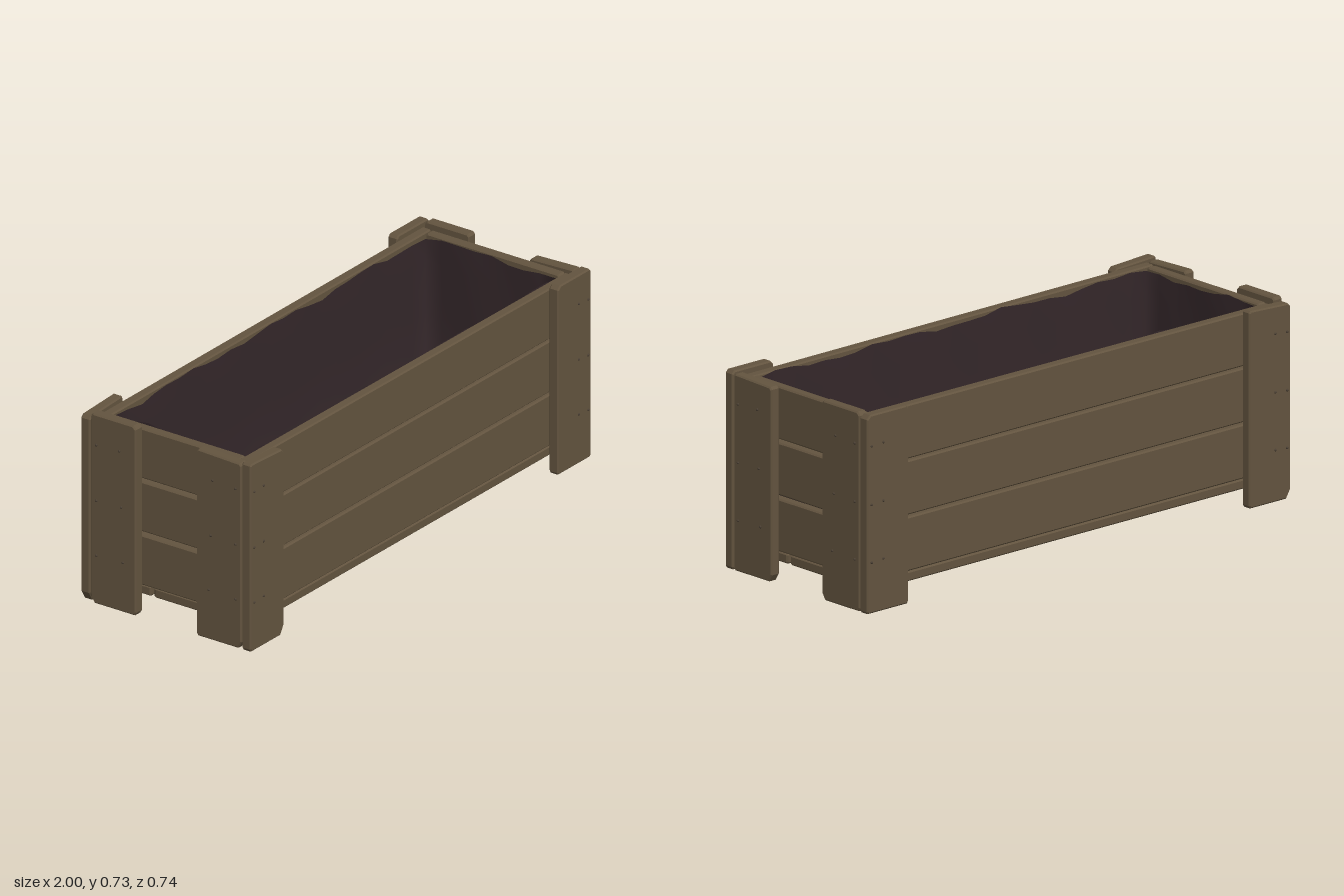
import * as THREE from 'three';

const mat = (name, color, extra = {}) => {
  const m = new THREE.MeshStandardMaterial({ color, ...extra });
  m.name = name;
  return m;
};

export function createModel() {
  const group = new THREE.Group();
  const wood = mat('weathered wood', 0x63543f);
  const iron = mat('nail iron', 0x4c4135);
  const cloth = mat('dark liner', 0x34272a, { side: THREE.DoubleSide });

  // Bevelled board in the XY plane, centred; cuts = worn corners [bl, br, tr, tl], drop lowers one top end
  function boardGeometry(w, h, t, cuts = [0.004, 0.004, 0.004, 0.004], drop = 0) {
    const b = 0.005, x = w / 2 - b, y = h / 2 - b;
    const [bl, br, tr, tl] = cuts;
    const s = new THREE.Shape();
    s.moveTo(-x + bl * 0.6, -y);
    s.lineTo(x - br * 0.6, -y);
    s.lineTo(x, -y + br);
    s.lineTo(x, y - drop - tr);
    s.lineTo(x - tr, y - drop);
    s.lineTo(-x + tl, y);
    s.lineTo(-x, y - tl);
    s.lineTo(-x, -y + bl);
    s.closePath();
    const g = new THREE.ExtrudeGeometry(s, {
      depth: t - 2 * b, bevelThickness: b, bevelSize: b, bevelSegments: 1, steps: 1,
    });
    return g.translate(0, 0, -t / 2 + b);
  }

  function add(name, geometry, material, x, y, z, ry = 0) {
    const m = new THREE.Mesh(geometry, material);
    m.name = name;
    m.position.set(x, y, z);
    m.rotation.y = ry;
    group.add(m);
    return m;
  }

  // Wall planks: three rows on the long sides and on the ends
  [0.198, 0.403, 0.607].forEach((y, i) => {
    const h = 0.197;
    for (const s of [1, -1]) {
      const turn = s > 0 ? 0 : Math.PI;
      add('sidePlank', boardGeometry(1.9, h, 0.038, undefined, i === 2 ? 0.004 : 0), wood,
        0, y, s * 0.307, turn);
      add('endPlank', boardGeometry(0.576, h - 0.006, 0.038), wood,
        s * 0.932, y, 0, s * Math.PI / 2);
    }
  });

  // Floor planks running lengthwise
  for (const z of [-0.212, 0.002, 0.216]) {
    const g = boardGeometry(1.86, 0.204, 0.036);
    g.rotateX(Math.PI / 2);
    add('floorPlank', g, wood, 0, 0.075, z);
  }

  // Corner boards: a wide face board and an end board at every corner, each with worn ends
  const nail = new THREE.SphereGeometry(0.005, 8, 6);
  for (const sx of [1, -1]) {
    for (const sz of [1, -1]) {
      const faceH = sx > 0 ? 0.722 : 0.718;
      const worn = sx > 0 ? [0.004, 0.006, 0.008, 0.012] : [0.006, 0.03, 0.01, 0.004];
      add('cornerFaceBoard', boardGeometry(0.195, faceH, 0.04, worn, sx < 0 ? 0.008 : 0), wood,
        sx * 0.897, faceH / 2, sz * 0.347, sz > 0 ? 0 : Math.PI);

      const endH = sz > 0 ? 0.715 : 0.725;
      const endWorn = sz > 0 ? [0.006, 0.022, 0.006, 0.006] : [0.02, 0.008, 0.01, 0.006];
      add('cornerEndBoard', boardGeometry(0.195, endH, 0.04, endWorn, sz > 0 ? 0.006 : 0), wood,
        sx * 0.973, endH / 2, sz * 0.227, sx * Math.PI / 2);

      // Nail heads, two per plank row
      [0.19, 0.4, 0.613].forEach((y, i) => {
        add('nail', nail, iron, sx * 0.993, y, sz * (0.185 + 0.008 * i));
        add('nail', nail, iron, sx * 0.993, y - 0.004, sz * 0.3);
        add('nail', nail, iron, sx * 0.92, y, sz * 0.367);
        add('nail', nail, iron, sx * 0.975, y - 0.004, sz * 0.367);
      });
    }
  }

  // Cloth liner: rounded rectangular rings from a wavy hem down to a sagging floor
  const rings = [
    [0.692, 0], [0.6, 0.002], [0.4, 0.002], [0.22, 0.006],
    [0.15, 0.025], [0.115, 0.06], [0.103, 0.12], [0.1, 0.27],
  ];
  const nLong = 24, nShort = 8;
  const loop = [];
  for (let i = 0; i < nLong; i++) loop.push([-1 + 2 * i / nLong, 1]);
  for (let i = 0; i < nShort; i++) loop.push([1, 1 - 2 * i / nShort]);
  for (let i = 0; i < nLong; i++) loop.push([1 - 2 * i / nLong, -1]);
  for (let i = 0; i < nShort; i++) loop.push([-1, -1 + 2 * i / nShort]);
  const n = loop.length, pos = [], index = [];
  rings.forEach(([y, inset], r) => {
    loop.forEach(([u, v], i) => {
      const hem = r === 0 ? 0.008 * Math.sin(i * 0.9) + 0.005 * Math.sin(i * 2.3) : 0;
      const fold = r < 4 ? 0.003 * (1 + Math.sin(i * 1.3 + r)) : 0;
      pos.push(u * (0.909 - inset - fold), y + hem, v * (0.286 - inset - fold));
      if (r > 0) {
        const j = (i + 1) % n, a = (r - 1) * n, b = r * n;
        index.push(a + i, a + j, b + i, a + j, b + j, b + i);
      }
    });
  });
  // Close the floor between the two long edges of the last ring
  const last = (rings.length - 1) * n, centre = pos.length / 3;
  pos.push(0, 0.1, 0);
  for (let i = 0; i < n; i++) index.push(last + i, last + (i + 1) % n, centre);
  const liner = new THREE.BufferGeometry();
  liner.setAttribute('position', new THREE.Float32BufferAttribute(pos, 3));
  liner.setIndex(index);
  liner.computeVertexNormals();
  // Keep the inside facing the opening
  if (liner.attributes.normal.getY(centre) < 0) {
    for (let i = 0; i < index.length; i += 3) [index[i], index[i + 1]] = [index[i + 1], index[i]];
    liner.setIndex(index);
    liner.computeVertexNormals();
  }
  add('liner', liner, cloth, 0, 0, 0);

  return group;
}
